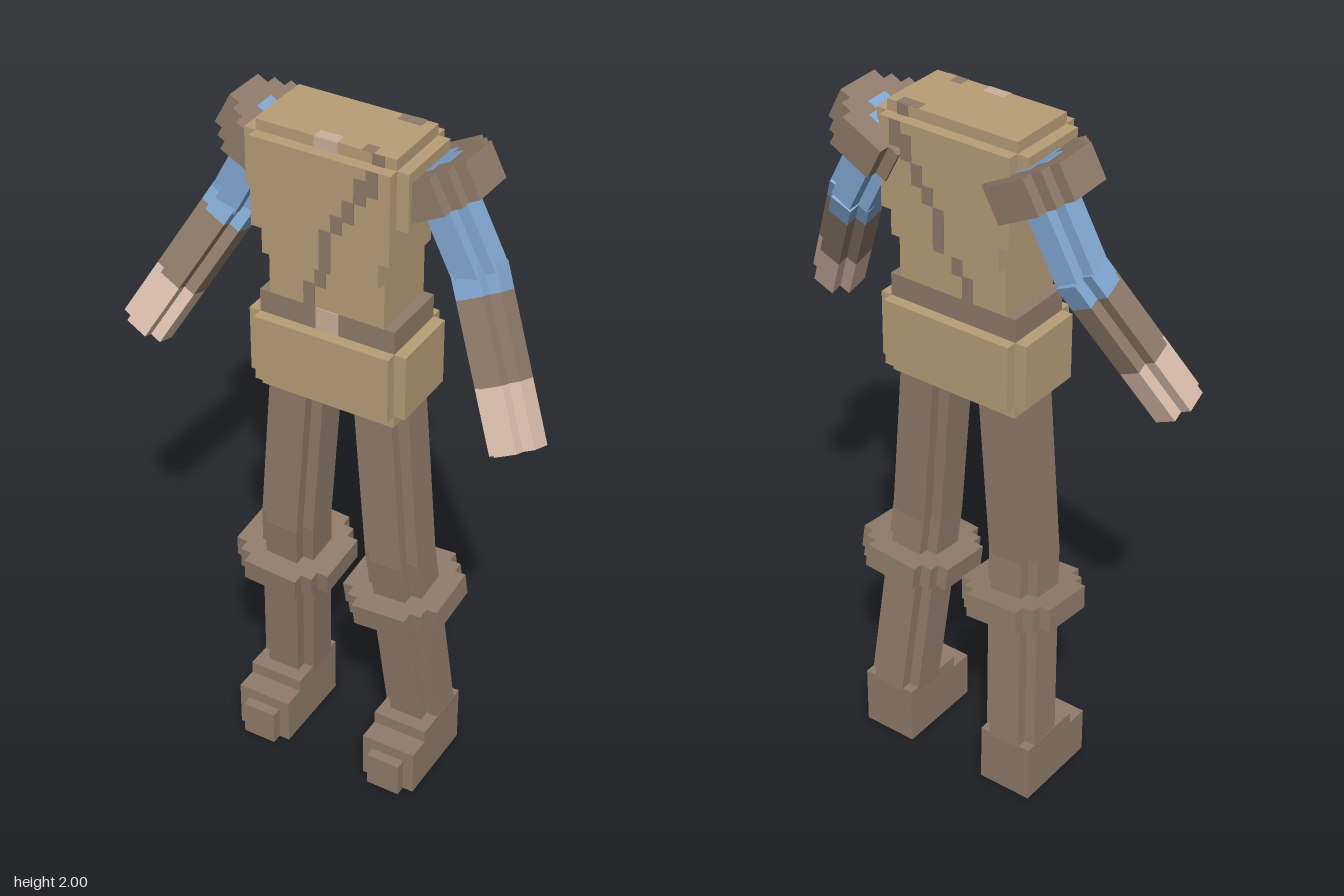
import * as THREE from 'three';

const U = 0.0325; // one block of the stepped style
const mat = (name, color) => {
  const m = new THREE.MeshStandardMaterial({ color });
  m.name = name;
  return m;
};

export function createModel() {
  const root = new THREE.Group();
  root.name = 'headlessOutfit';
  const tan = mat('tan', 0xb89e78);
  const brown = mat('brown', 0x907c6b);
  const blue = mat('blue', 0x82a9d4);
  const skin = mat('skin', 0xdec0ad);
  const light = mat('lightTan', 0xcbb29b);

  const box = (parent, name, m, x0, x1, y0, y1, z0, z1) => {
    const mesh = new THREE.Mesh(new THREE.BoxGeometry(x1 - x0, y1 - y0, z1 - z0), m);
    mesh.position.set((x0 + x1) / 2, (y0 + y1) / 2, (z0 + z1) / 2);
    mesh.name = name;
    parent.add(mesh);
    return mesh;
  };

  // Outline with stepped corners, from the outer corners of one quadrant
  const stepped = (corners, s) => {
    const q = [];
    corners.forEach(([x, y], i) => {
      if (i) q.push([x, corners[i - 1][1]]);
      q.push([x, y]);
    });
    const pts = [];
    const add = (list, sx, sy) => list.forEach(([x, y]) => pts.push(new THREE.Vector2(x * s * sx, y * s * sy)));
    const r = [...q].reverse();
    add(q, 1, 1);
    add(r, -1, 1);
    add(q, -1, -1);
    add(r, 1, -1);
    return new THREE.Shape(pts);
  };

  // Prism of a stepped outline running from point a to point b
  const prism = (parent, name, m, shape, a, b) => {
    const dir = b.clone().sub(a);
    const len = dir.length();
    const g = new THREE.ExtrudeGeometry(shape, { depth: len, bevelEnabled: false });
    g.rotateX(-Math.PI / 2);
    const mesh = new THREE.Mesh(g, m);
    mesh.quaternion.setFromUnitVectors(new THREE.Vector3(0, 1, 0), dir.normalize());
    mesh.position.copy(a);
    mesh.name = name;
    parent.add(mesh);
    return mesh;
  };

  const armShape = stepped([[2, 1], [1, 2]], U);
  const legShape = stepped([[2.5, 1.5], [1.5, 2.5]], U);
  const padShape = stepped([[4, 2], [3, 3], [2, 4]], U);
  const cuffShape = stepped([[4.5, 2.5], [3.5, 3.5], [2.5, 4.5]], U);

  // Torso: stacked blocks
  const torso = new THREE.Group();
  torso.name = 'torso';
  torso.position.x = -0.005;
  root.add(torso);
  const block = (name, m, hx, y0, y1, hz) => box(torso, name, m, -hx, hx, y0, y1, -hz, hz);
  block('collar', tan, 0.195, 1.97, 2.0, 0.1);
  block('chest', tan, 0.195, 1.72, 1.97, 0.132);
  block('chestSides', tan, 0.228, 1.81, 1.969, 0.1);
  block('lowerChest', tan, 0.165, 1.65, 1.72, 0.132);
  block('waist', tan, 0.165, 1.515, 1.65, 0.1);
  block('belt', brown, 0.195, 1.45, 1.515, 0.1);
  block('skirt', tan, 0.195, 1.26, 1.45, 0.132);
  block('skirtSides', tan, 0.228, 1.261, 1.449, 0.1);
  block('skirtHem', tan, 0.195, 1.225, 1.26, 0.1);

  // Belt buckle and neck opening
  const T = 0.003;
  box(torso, 'buckle', light, -0.03, 0.035, 1.452, 1.515, 0.1, 0.1 + T);
  box(torso, 'neckFront', light, -0.03, 0.035, 1.97, 2.0, 0.1, 0.1 + T);
  box(torso, 'neckTop', light, -0.03, 0.035, 2.0, 2.001, 0.07, 0.1);

  // Diagonal strap on chest and back: column, bottom, top
  const strap = [
    [6, 1.97, 2.0], [6, 1.9, 1.97], [5, 1.87, 1.94], [4, 1.81, 1.87], [3, 1.77, 1.82],
    [2, 1.65, 1.77], [1, 1.58, 1.65], [0, 1.515, 1.585],
  ];
  for (const [c, y0, y1] of strap) {
    const x = -0.065 + c * U;
    const z = y0 >= 1.65 && y0 < 1.97 ? 0.132 : 0.1;
    for (const s of [1, -1]) {
      const zs = [s * z, s * (z + T)].sort((p, q) => p - q);
      box(torso, 'strap', brown, x, x + U, y0, y1, zs[0], zs[1]);
    }
  }
  box(torso, 'strapTopFront', brown, 0.1, 0.132, 2.0, 2.001, 0.07, 0.1);
  box(torso, 'strapTopBack', brown, 0.1, 0.165, 2.0, 2.001, -0.1, -0.07);

  for (const side of [1, -1]) {
    const label = side > 0 ? 'left' : 'right';
    const P = (x, y, z) => new THREE.Vector3(side * x, y, z);

    // Arm: sleeve, forearm and hand
    const arm = new THREE.Group();
    arm.name = label + 'Arm';
    root.add(arm);
    const shoulder = P(0.21, 1.932, -0.045);
    const elbow = P(0.348, 1.67, -0.037);
    const tip = P(0.547, 1.298, 0.112);
    const along = (t) => elbow.clone().lerp(tip, t);
    prism(arm, 'upperSleeve', blue, armShape, elbow, shoulder);
    prism(arm, 'lowerSleeve', blue, armShape, along(0.13), along(-0.03));
    prism(arm, 'forearm', brown, armShape, along(0.62), along(0.13));
    prism(arm, 'hand', skin, armShape, tip, along(0.62));

    // Shoulder pad around the top of the arm
    const axis = shoulder.clone().sub(elbow).normalize();
    const padTop = shoulder.clone().addScaledVector(axis, -0.002);
    prism(arm, 'shoulderPad', brown, padShape, padTop.clone().addScaledVector(axis, -3 * U), padTop);

    // Leg: thigh, shin, knee cuff
    const leg = new THREE.Group();
    leg.name = label + 'Leg';
    root.add(leg);
    const hip = P(0.124, 1.25, 0.003);
    const knee = P(0.163, 0.745, 0.003);
    const ankle = P(0.204, 0.165, -0.058);
    prism(leg, 'thigh', brown, legShape, knee, hip);
    prism(leg, 'shin', brown, legShape, ankle, knee.clone().lerp(ankle, -0.02));
    prism(leg, 'kneeCuff', brown, cuffShape, P(0.175, 0.57, -0.016), P(0.17, 0.637, -0.009));

    // Boot: stepped towards the toe
    const boot = new THREE.Group();
    boot.name = label + 'Boot';
    boot.position.x = side * 0.205;
    leg.add(boot);
    box(boot, 'bootHeel', brown, -0.081, 0.081, 0, 0.177, -0.135, 0.065);
    box(boot, 'bootFoot', brown, -0.081, 0.081, 0, 0.14, 0.065, 0.13);
    box(boot, 'bootToe', brown, -0.05, 0.05, 0, 0.105, 0.13, 0.16);
  }
  return root;
}
